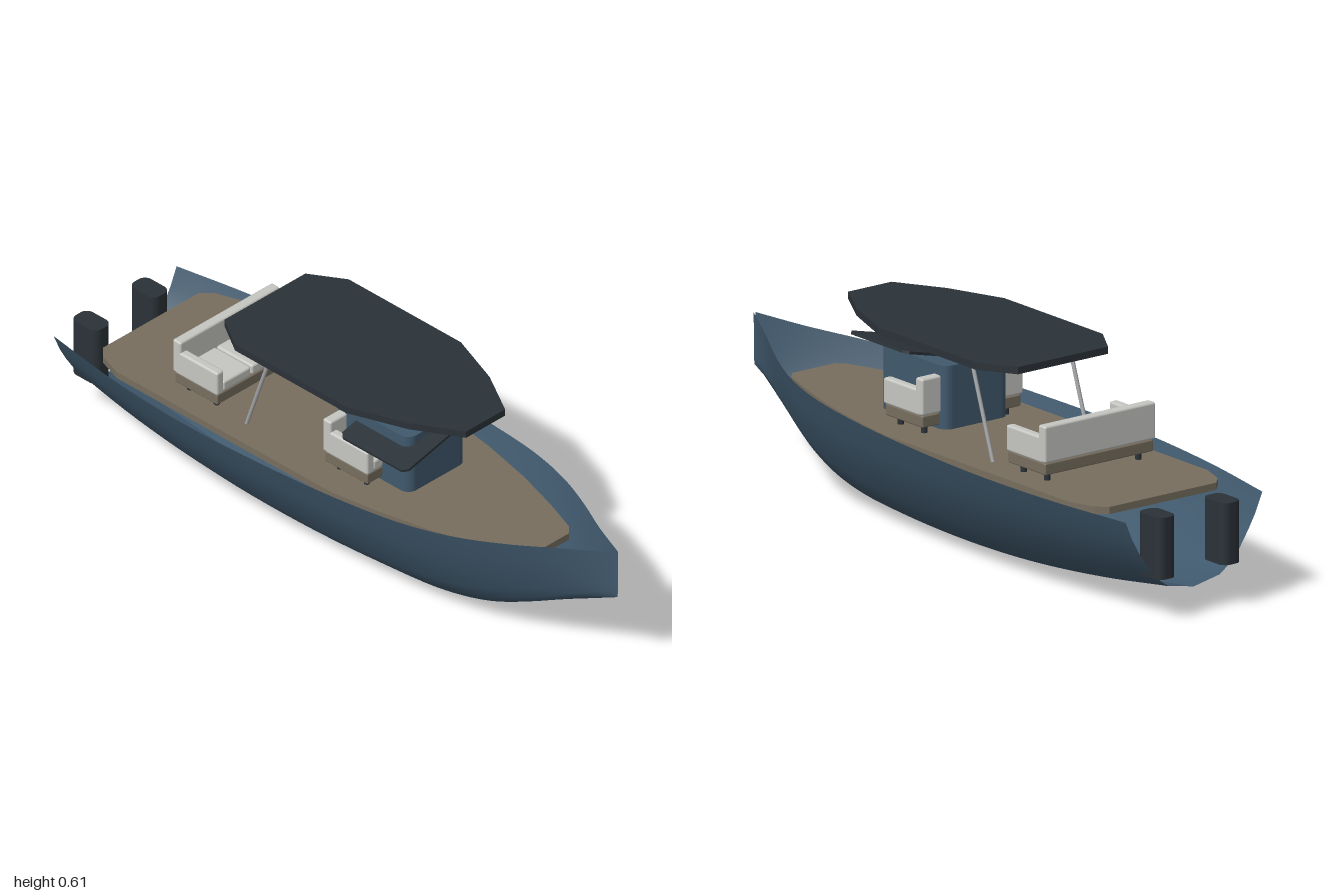
import * as THREE from 'three';
import { RoundedBoxGeometry } from 'three/addons/geometries/RoundedBoxGeometry.js';

const mat = (name, color, side = THREE.FrontSide) => {
  const m = new THREE.MeshStandardMaterial({ color, side });
  m.name = name;
  return m;
};

export function createModel() {
  const boat = new THREE.Group();
  boat.name = 'boat';
  const blue = mat('hull blue', 0x40596d, THREE.DoubleSide);
  const tan = mat('deck tan', 0x776e5f);
  const dark = mat('charcoal', 0x2b3238);
  const white = mat('cushion white', 0xc6c6c2);
  const steel = mat('rail grey', 0xa3a5a6);

  const add = (parent, name, geo, material, x = 0, y = 0, z = 0) => {
    const m = new THREE.Mesh(geo, material);
    m.name = name;
    m.position.set(x, y, z);
    parent.add(m);
    return m;
  };
  // rounded box given by its limits
  const box = (parent, name, material, x0, x1, y0, y1, z0, z1, r = 0.007) =>
    add(parent, name, new RoundedBoxGeometry(x1 - x0, y1 - y0, z1 - z0, 2, r), material,
      (x0 + x1) / 2, (y0 + y1) / 2, (z0 + z1) / 2);
  // horizontal plate from the +z half of a symmetric outline
  const plate = (half, y0, y1) => {
    const pts = [...half, ...half.map(([x, z]) => [x, -z]).reverse()];
    const shape = new THREE.Shape(pts.map(p => new THREE.Vector2(...p)));
    return new THREE.ExtrudeGeometry(shape, { depth: y1 - y0, bevelEnabled: false })
      .rotateX(-Math.PI / 2).translate(0, y0, 0);
  };
  // upright block with rounded vertical edges
  const pillar = (w, d, h, r) => {
    const s = new THREE.Shape(), a = w / 2 - r, b = d / 2 - r;
    s.absarc(a, b, r, 0, Math.PI / 2);
    s.absarc(-a, b, r, Math.PI / 2, Math.PI);
    s.absarc(-a, -b, r, Math.PI, Math.PI * 1.5);
    s.absarc(a, -b, r, Math.PI * 1.5, Math.PI * 2);
    return new THREE.ExtrudeGeometry(s, { depth: h, bevelEnabled: false, curveSegments: 6 })
      .rotateX(-Math.PI / 2);
  };

  // open hull shell: stations of [x, half breadth, sheer height, keel height]
  const stations = [
    [-0.97, 0.243, 0.31, 0.08], [-0.7, 0.285, 0.316, 0.043], [-0.4, 0.308, 0.323, 0.015],
    [-0.1, 0.304, 0.33, 0.004], [0.2, 0.282, 0.338, 0.01], [0.42, 0.253, 0.35, 0.027],
    [0.58, 0.208, 0.362, 0.062], [0.72, 0.146, 0.376, 0.12], [0.86, 0.071, 0.393, 0.19],
    [1, 0.003, 0.413, 0.262]];
  const section = [[0, 0], [0.377, 0.077], [0.5, 0.17], [0.645, 0.32], [0.8, 0.57], [0.9, 0.755], [1, 1]];
  const cols = [...section.map(([u, v]) => [-u, v]).reverse(), ...section];
  const along = [1, 2, 3].map(k => new THREE.CatmullRomCurve3(
    stations.map(s => new THREE.Vector3(s[0], s[k], 0)), false, 'centripetal'));
  const N = 45, pos = [], idx = [];
  for (let i = 0; i <= N; i++) {
    const [b, s, k] = along.map(c => c.getPoint(i / N));
    for (const [u, v] of cols) pos.push(b.x, k.y + (s.y - k.y) * v, b.y * u);
  }
  const C = cols.length;
  for (let i = 0; i < N; i++) for (let j = 0; j < C - 1; j++) {
    if (j === section.length - 1) continue; // keel stays a sharp edge
    const a = i * C + j, c = a + C;
    idx.push(a, c, a + 1, a + 1, c, c + 1);
  }
  const hull = new THREE.BufferGeometry();
  hull.setAttribute('position', new THREE.Float32BufferAttribute(pos, 3));
  hull.setIndex(idx);
  hull.computeVertexNormals();
  add(boat, 'hull', hull, blue);

  // deck
  add(boat, 'deck', plate([[-0.83, 0.19], [-0.8, 0.22], [-0.72, 0.247], [0.12, 0.247],
    [0.28, 0.222], [0.45, 0.185], [0.6, 0.14], [0.71, 0.1], [0.735, 0.075]], 0.292, 0.313), tan);

  // console with its tilted screen
  add(boat, 'console', pillar(0.295, 0.232, 0.185, 0.03), blue, 0.148, 0.325, 0);
  const screen = add(boat, 'consoleScreen',
    plate([[-0.13, 0.175], [-0.115, 0.189], [0.115, 0.189], [0.13, 0.175]], -0.004, 0.004),
    dark, 0.22, 0.5, 0);
  screen.rotation.x = 0.235;

  // benches, facing forward
  const bench = (name, x, half) => {
    const g = new THREE.Group();
    g.name = name;
    g.position.x = x;
    boat.add(g);
    box(g, 'benchBase', tan, 0.005, 0.172, 0.337, 0.371, -half + 0.005, half - 0.005, 0.004);
    box(g, 'backrest', white, 0, 0.032, 0.373, 0.481, -half, half);
    const inner = half - 0.028, w = inner * 2 / 3;
    for (let i = 0; i < 3; i++)
      box(g, 'seatCushion', white, 0.03, 0.172, 0.371, 0.403,
        -inner + w * i + 0.002, -inner + w * (i + 1) - 0.002);
    for (const s of [-1, 1]) {
      box(g, 'armrest', white, 0.01, 0.176, 0.371, 0.447,
        s * (half - 0.014) - 0.014, s * (half - 0.014) + 0.014);
      for (const fx of [0.035, 0.14])
        add(g, 'foot', new THREE.CylinderGeometry(0.009, 0.009, 0.026, 12), dark,
          fx, 0.325, s * (half - 0.035));
    }
  };
  bench('aftBench', -0.551, 0.197);
  bench('helmBench', 0.021, 0.18);

  // canopy on two raked poles
  add(boat, 'canopy', plate([[-0.383, 0.16], [-0.277, 0.225], [0.163, 0.225],
    [0.34, 0.16], [0.483, 0.077]], 0.588, 0.609), dark);
  for (const z of [-0.171, 0.171]) {
    const path = new THREE.LineCurve3(new THREE.Vector3(-0.287, 0.305, z), new THREE.Vector3(-0.187, 0.592, z));
    add(boat, 'canopyPole', new THREE.TubeGeometry(path, 1, 0.0058, 12), steel);
  }

  // twin outboard engines
  for (const z of [-0.115, 0.115])
    add(boat, 'engine', pillar(0.1, 0.066, 0.18, 0.024), dark, -0.95, 0.13, z);

  return boat;
}
